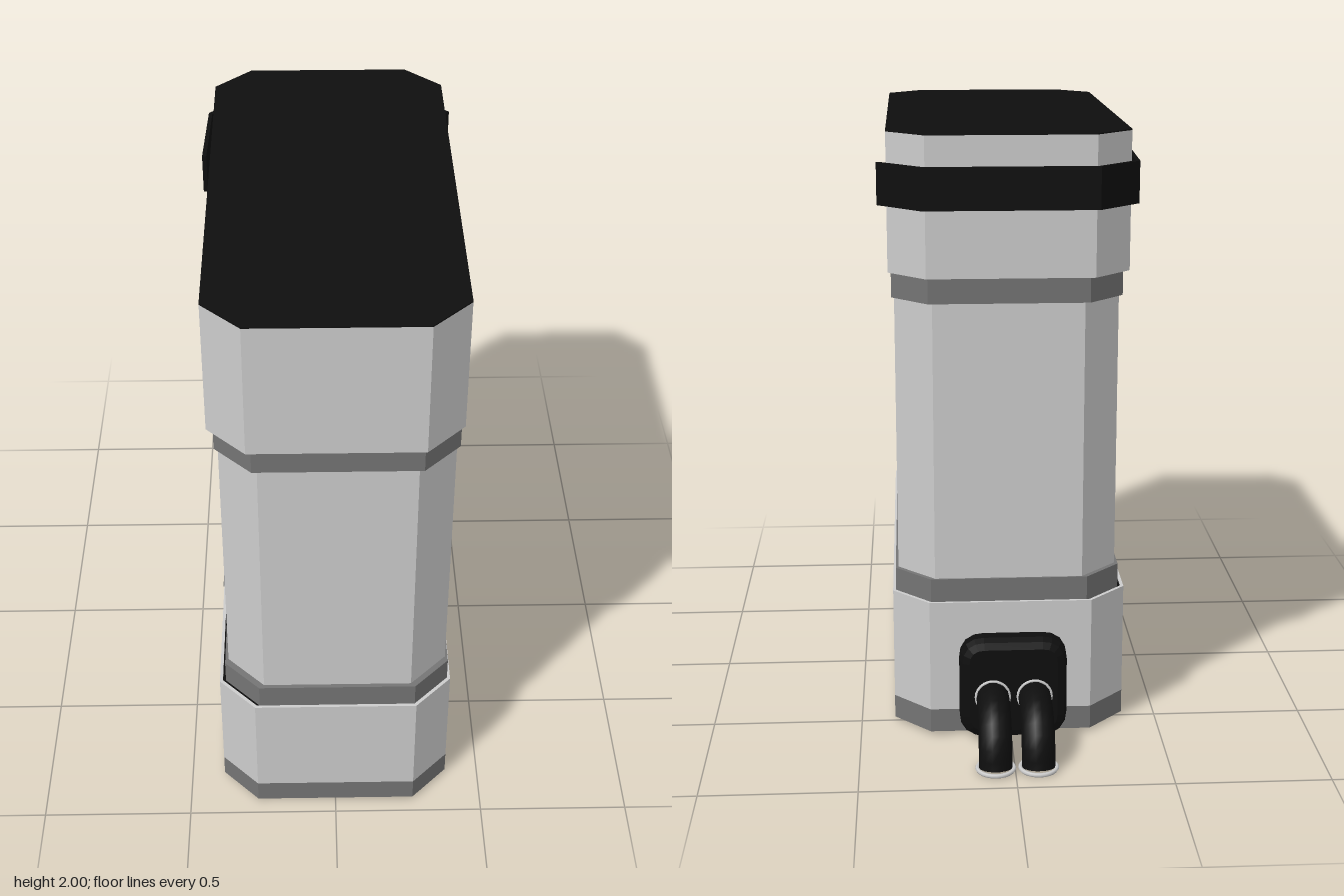
import * as THREE from 'three';

const mat = (name, color, side = THREE.FrontSide) => {
  const m = new THREE.MeshStandardMaterial({ color, side });
  m.name = name;
  return m;
};

export function createModel() {
  const light = mat('lightGrey', 0xcccccc);
  const dark = mat('darkGrey', 0x747474);
  const black = mat('black', 0x0e0e0e, THREE.DoubleSide);
  const root = new THREE.Group();

  const add = (name, geo, material, x = 0, y = 0, z = 0) => {
    const m = new THREE.Mesh(geo, material);
    m.name = name;
    m.position.set(x, y, z);
    root.add(m);
    return m;
  };

  // Chamfered rectangle outline in plan, with y standing for -z
  const outline = (x0, x1, z0, z1, c = 0.12) => [
    [x0 + c, -z1], [x1 - c, -z1], [x1, -z1 + c], [x1, -z0 - c],
    [x1 - c, -z0], [x0 + c, -z0], [x0, -z0 - c], [x0, -z1 + c],
  ].map(([x, y]) => new THREE.Vector2(x, y));

  // Upright prism from y0 to y1, optionally hollow
  const prism = (pts, y0, y1, hole) => {
    const s = new THREE.Shape(pts);
    if (hole) s.holes.push(new THREE.Path(hole));
    const g = new THREE.ExtrudeGeometry(s, { depth: y1 - y0, bevelEnabled: false });
    return g.rotateX(-Math.PI / 2).translate(0, y0, 0);
  };

  const full = outline(-0.387, 0.387, -0.615, 0.95);
  const inner = outline(-0.377, 0.377, -0.605, 0.94, 0.116);
  const bandLine = outline(-0.367, 0.377, -0.603, 0.936, 0.115);
  const midLine = outline(-0.356, 0.368, -0.597, 0.922);

  // Housing, from the hollow foot up to the lid
  add('baseStrip', prism(full, 0.01, 0.09, inner), dark);
  add('lowerHousing', prism(full, 0.09, 0.47, inner), light);
  add('underside', prism(inner, 0.42, 0.465), black);
  add('lowerBand', prism(bandLine, 0.465, 0.548), dark);
  add('middleHousing', prism(midLine, 0.548, 1.468), light);
  add('upperBand', prism(bandLine, 1.468, 1.55), dark);
  add('upperHousing', prism(full, 1.55, 1.996), light);
  add('lid', prism(full, 1.996, 2.0), black);

  // Side plates drawn in (z, y) and extruded along x
  const sidePlate = (shape, t) =>
    new THREE.ExtrudeGeometry(shape, { depth: t, bevelEnabled: false, curveSegments: 6 })
      .rotateY(-Math.PI / 2);

  // Trapezoid notches where the bands step into the housing on one side
  for (const [name, y, d] of [['upperNotch', 1.55, 0.045], ['lowerNotch', 0.47, -0.045]]) {
    const s = new THREE.Shape([[-0.04, y], [0.37, y], [0.31, y + d], [0.02, y + d]]
      .map(([a, b]) => new THREE.Vector2(a, b)));
    add(name, sidePlate(s, 0.006), dark, -0.384);
  }

  // Rounded vent slots, two rows on each side
  const slot = new THREE.Shape();
  slot.absarc(0, 0.047, 0.018, 0, Math.PI);
  slot.absarc(0, -0.047, 0.018, Math.PI, Math.PI * 2);
  const slotGeo = sidePlate(slot, 0.014).translate(0.007, 0, 0);
  for (const side of [-1, 1])
    for (const y of [0.265, 1.795])
      for (let i = 0; i < 8; i++)
        add('ventSlot', slotGeo, black, side * 0.382, y, 0.235 + i * 0.073);

  // Small handle recess low on one side
  add('recess', new THREE.BoxGeometry(0.008, 0.07, 0.3), dark, -0.385, 0.225, -0.25);
  add('recessBar', new THREE.BoxGeometry(0.006, 0.045, 0.27), light, -0.3875, 0.22, -0.25);
  add('recessBack', new THREE.BoxGeometry(0.035, 0.07, 0.3), light, -0.361, 0.225, -0.25);

  // Strap wrapped around the back, longer on one side
  const strapOuter = [[0.418, -0.49], [0.278, -0.627], [-0.278, -0.627], [-0.414, -0.495], [-0.425, -0.19]];
  const strapInner = [[-0.411, -0.19], [-0.402, -0.485], [-0.272, -0.616], [0.272, -0.616], [0.408, -0.483]];
  add('strap', prism([...strapOuter, ...strapInner].map(([x, z]) => new THREE.Vector2(x, -z)), 1.765, 1.9), black);

  // Connector block on the back, with bevelled edges
  const w = 0.145, r = 0.05, y0 = 0.045, y1 = 0.33;
  const block = new THREE.Shape();
  block.moveTo(-w + r, y0);
  block.lineTo(w - r, y0);
  block.quadraticCurveTo(w, y0, w, y0 + r);
  block.lineTo(w, y1 - r);
  block.quadraticCurveTo(w, y1, w - r, y1);
  block.lineTo(-w + r, y1);
  block.quadraticCurveTo(-w, y1, -w, y1 - r);
  block.lineTo(-w, y0 + r);
  block.quadraticCurveTo(-w, y0, -w + r, y0);
  add('connectorBlock', new THREE.ExtrudeGeometry(block, {
    depth: 0.04, bevelThickness: 0.032, bevelSize: 0.032, bevelSegments: 2, curveSegments: 4,
  }), black, -0.006, 0, -0.658);

  // Two bent hoses with pale rims
  const path = new THREE.CatmullRomCurve3([
    [0.165, -0.66], [0.16, -0.75], [0.135, -0.82], [0.08, -0.865], [0.008, -0.878],
  ].map(([y, z]) => new THREE.Vector3(0, y, z)));
  const hoseGeo = new THREE.TubeGeometry(path, 10, 0.054, 14);
  const rimGeo = new THREE.TorusGeometry(0.059, 0.007, 6, 24).rotateX(Math.PI / 2);
  const collarGeo = new THREE.TorusGeometry(0.055, 0.005, 6, 24);
  for (const x of [-0.075, 0.063]) {
    add('hose', hoseGeo, black, x);
    add('hoseRim', rimGeo, light, x, 0.007, -0.878);
    add('hoseCollar', collarGeo, light, x, 0.165, -0.69);
  }
  return root;
}
